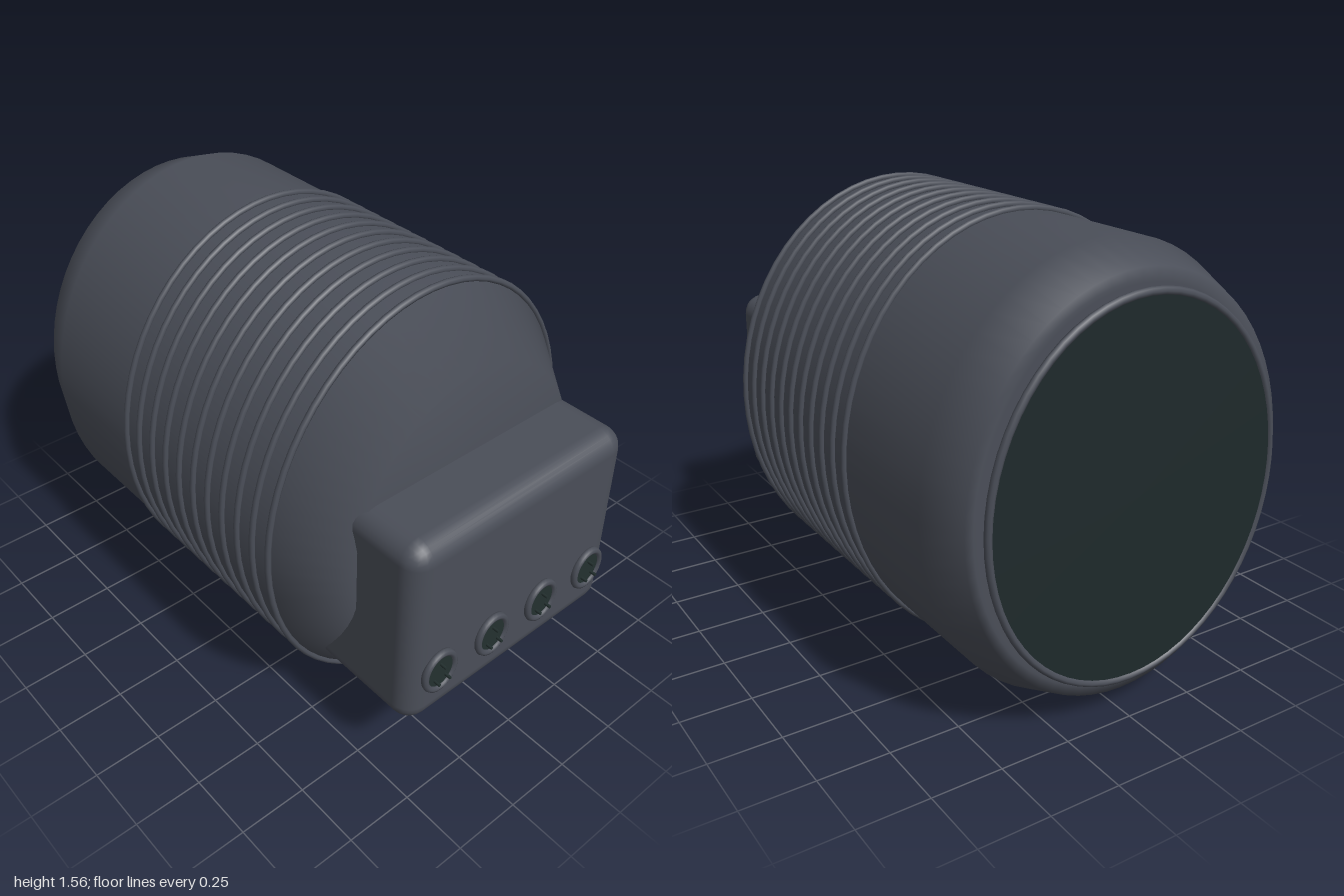
import * as THREE from 'three';
import { RoundedBoxGeometry } from 'three/addons/geometries/RoundedBoxGeometry.js';

const SQUASH = 0.863; // width of the oval sections relative to their height
const CENTER_Y = 0.79;

export function createModel() {
  const model = new THREE.Group();
  const shell = new THREE.MeshStandardMaterial({ name: 'slateShell', color: 0x4a4e58 });
  const glass = new THREE.MeshStandardMaterial({ name: 'darkGlass', color: 0x1e292b });
  const socketDark = new THREE.MeshStandardMaterial({ name: 'socketGreen', color: 0x23302f });

  const add = (parent, name, geometry, material, x = 0, y = 0, z = 0) => {
    const mesh = new THREE.Mesh(geometry, material);
    mesh.name = name;
    mesh.position.set(x, y, z);
    parent.add(mesh);
    return mesh;
  };
  const ovalRing = (radius, tube, sides, segments) =>
    new THREE.TorusGeometry(radius, tube, sides, segments).scale(SQUASH, 1, 1);
  const disc = (radius, depth, segments) =>
    new THREE.CylinderGeometry(radius, radius, depth, segments).rotateX(Math.PI / 2).scale(SQUASH, 1, 1);

  // Oval barrel with a tapered nose and tail, listed from back to front
  const profile = [[0, -0.955], [0.655, -0.955], [0.665, -0.95], [0.7, -0.95], [0.765, -0.79],
    [0.765, 0.49], [0.575, 0.71], [0, 0.71]].map(([r, z]) => new THREE.Vector2(r, z));
  const barrel = new THREE.LatheGeometry(profile, 64).rotateX(Math.PI / 2).scale(SQUASH, 1, 1);
  add(model, 'barrel', barrel, shell, 0, CENTER_Y, 0);

  // Grip ribs
  for (let i = 0; i < 11; i++) {
    add(model, 'gripRib', ovalRing(0.77, 0.012, 8, 64), shell, 0, CENTER_Y, 0.49 - i * 0.0815);
  }

  // Rear window and its rim
  add(model, 'windowRim', ovalRing(0.635, 0.014, 8, 64), shell, 0, CENTER_Y, -0.985);
  add(model, 'window', disc(0.635, 0.008, 64), glass, 0, CENTER_Y, -0.988);

  // Control box sunk into the nose
  add(model, 'controlBox', new RoundedBoxGeometry(0.97, 0.76, 0.515, 3, 0.075), shell, 0, 0.68, 0.7075);

  // Row of sockets
  for (let i = 0; i < 4; i++) {
    const socket = new THREE.Group();
    socket.name = 'socket';
    socket.position.set(-0.36 + i * 0.24, 0.515, 0.965);
    model.add(socket);
    add(socket, 'socketRim', ovalRing(0.074, 0.014, 8, 32), shell, 0, 0, 0.007);
    add(socket, 'socketFace', disc(0.074, 0.008, 32), socketDark, 0, 0, 0.008);
    for (const [x, y] of [[-0.024, -0.03], [0.024, -0.03], [0, 0.032]]) {
      add(socket, 'pin', disc(0.006, 0.03, 8), socketDark, x, y, 0.02);
    }
  }
  return model;
}
